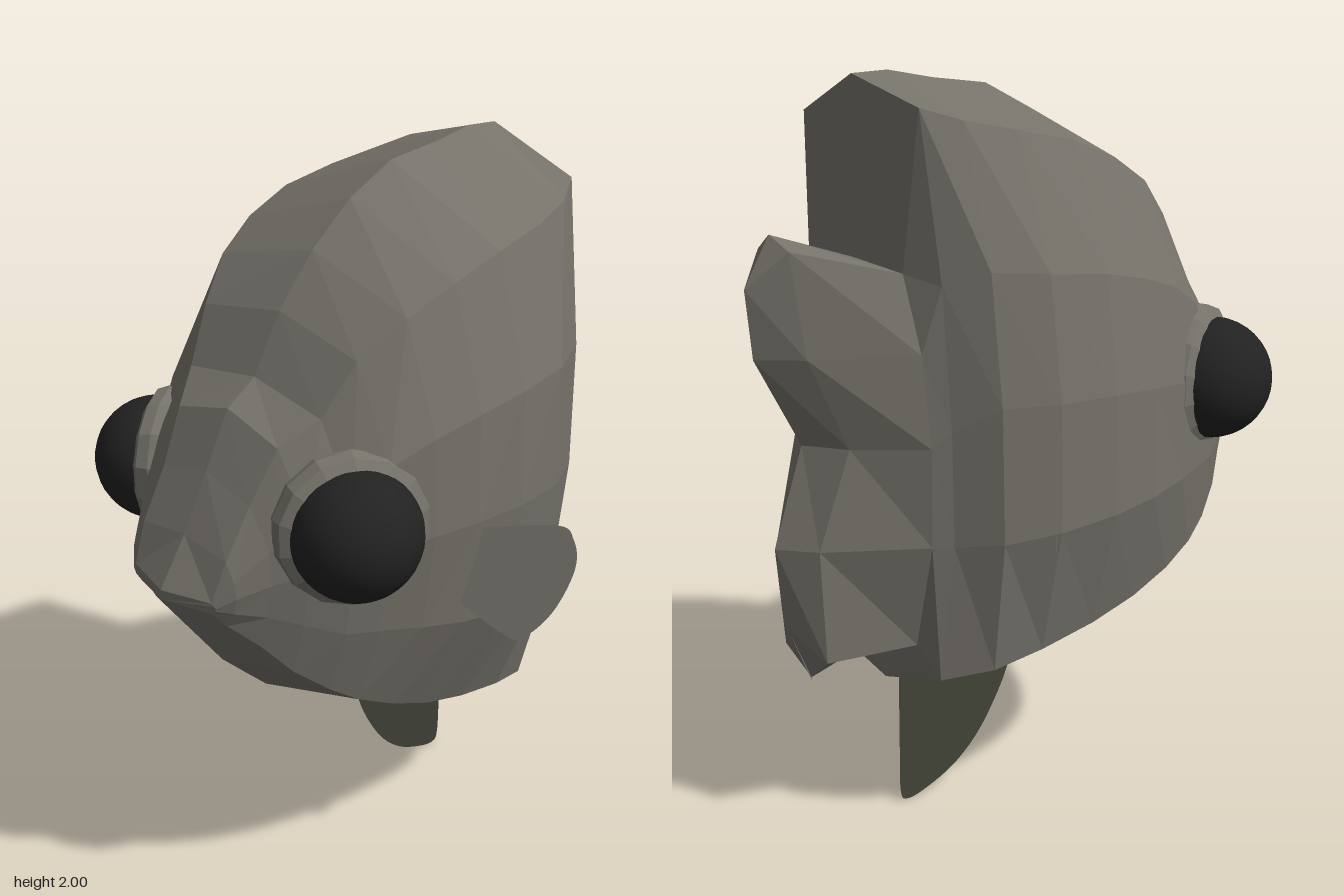
import * as THREE from 'three';

const skin = new THREE.MeshStandardMaterial({ color: 0x76736b, flatShading: true, side: THREE.DoubleSide });
skin.name = 'skin';
const finSkin = new THREE.MeshStandardMaterial({ color: 0x3f4136, side: THREE.DoubleSide });
finSkin.name = 'dark fin';
const eyeBlack = new THREE.MeshStandardMaterial({ color: 0x222222 });
eyeBlack.name = 'eye black';

// Body sections: z, belly y, chine y, shoulder y, back y, side width, shoulder width, chine width
const SECTIONS = [
  [0.7, 0.87, 0.925, 1.1, 1.12, 0.19, 0.15, 0.16],
  [0.63, 0.79, 0.86, 1.23, 1.27, 0.24, 0.155, 0.21],
  [0.56, 0.7, 0.78, 1.37, 1.42, 0.3, 0.175, 0.26],
  [0.47, 0.62, 0.71, 1.44, 1.48, 0.365, 0.23, 0.31],
  [0.39, 0.55, 0.66, 1.58, 1.635, 0.41, 0.265, 0.34],
  [0.28, 0.495, 0.61, 1.68, 1.77, 0.46, 0.32, 0.365],
  [0.15, 0.455, 0.56, 1.75, 1.88, 0.495, 0.355, 0.375],
  [0, 0.41, 0.52, 1.805, 1.955, 0.515, 0.37, 0.38],
  [-0.17, 0.385, 0.485, 1.84, 1.975, 0.5, 0.36, 0.375],
  [-0.31, 0.365, 0.455, 1.87, 2.0, 0.44, 0.33, 0.35],
];

// Nose lip half ring, bowed forward in the middle
const NOSE = [[0, 0.962, 0.775], [0.14, 0.965, 0.735], [0.15, 0.975, 0.733], [0.152, 0.982, 0.733],
  [0.15, 0.988, 0.735], [0.14, 0.995, 0.737], [0, 0.99, 0.777]];

// Rear half rings, belly to back: body rim, tail base, flank, rear edge
const TAIL = [
  [[0, 0.373, -0.43], [0.26, 0.43, -0.42], [0.32, 0.8, -0.395], [0.335, 1.1, -0.395],
    [0.325, 1.47, -0.395], [0.28, 1.905, -0.405], [0, 1.995, -0.42]],
  [[0, 0.49, -0.45], [0.2, 0.52, -0.45], [0.285, 0.8, -0.44], [0.3, 1.06, -0.435],
    [0.285, 1.3, -0.44], [0.22, 1.5, -0.44], [0, 1.53, -0.45]],
  [[0, 0.43, -0.66], [0.11, 0.5, -0.67], [0.11, 0.8, -0.67], [0.14, 1.06, -0.58],
    [0.115, 1.3, -0.67], [0.08, 1.57, -0.68], [0, 1.61, -0.69]],
  [[0, 0.42, -0.66], [0, 0.58, -0.72], [0, 0.8, -0.74], [0, 1.06, -0.64],
    [0, 1.3, -0.76], [0, 1.48, -0.77], [0, 1.61, -0.69]],
];

function halfRing([z, belly, chine, shoulder, back, w, sw, cw]) {
  const y = (t) => chine + (shoulder - chine) * t;
  return [[0, belly, z], [cw, chine, z], [w * 0.96, y(0.25), z], [w, y(0.5), z],
    [w * 0.95, y(0.74), z], [sw, shoulder, z], [0, back, z]];
}

// Mirror a half ring into a closed loop
function fullRing(half) {
  const mirrored = half.slice(1, -1).reverse().map(([x, y, z]) => [-x, y, z]);
  return [...half, ...mirrored];
}

function loft(rings) {
  const n = rings[0].length;
  const index = [];
  for (let i = 0; i < rings.length - 1; i++) {
    for (let j = 0; j < n; j++) {
      const k = (j + 1) % n;
      const a = i * n + j, b = i * n + k, c = b + n, d = a + n;
      // Diagonals mirror about the centre line
      if (j < n / 2) index.push(a, d, c, a, c, b);
      else index.push(a, d, b, b, d, c);
    }
  }
  for (let j = 1; j < n - 1; j++) index.push(0, j, j + 1); // front cap
  const geo = new THREE.BufferGeometry();
  geo.setAttribute('position', new THREE.Float32BufferAttribute(rings.flat(2), 3));
  geo.setIndex(index);
  const flat = geo.toNonIndexed();
  flat.computeVertexNormals();
  return flat;
}

function addMesh(parent, name, geometry, material) {
  const mesh = new THREE.Mesh(geometry, material);
  mesh.name = name;
  parent.add(mesh);
  return mesh;
}

// Flat fin with a straight root and a smooth outer edge
function finGeometry(points) {
  const shape = new THREE.Shape();
  shape.moveTo(...points[0]);
  shape.splineThru(points.slice(1).map((p) => new THREE.Vector2(...p)));
  shape.closePath();
  return new THREE.ShapeGeometry(shape, 6);
}

export function createModel() {
  const model = new THREE.Group();
  model.name = 'fish';

  // Body and belly fin lean slightly to one side
  const trunk = new THREE.Group();
  trunk.name = 'trunk';
  trunk.position.set(0.033, 1.15, 0);
  trunk.rotation.set(0, 0.11, -0.075);
  model.add(trunk);

  const rings = [NOSE, ...SECTIONS.map(halfRing), ...TAIL].map(fullRing);
  addMesh(trunk, 'body', loft(rings).translate(0, -1.15, 0), skin);

  const belly = finGeometry([[-0.04, 0.45], [0, 0.34], [0.05, 0.24], [0.13, 0.13],
    [0.22, 0.055], [0.32, 0.01], [0.385, -0.003], [0.405, 0.025], [0.4, 0.15], [0.385, 0.42]]);
  addMesh(trunk, 'bellyFin', belly.rotateY(Math.PI / 2).translate(0, -1.15, 0), finSkin);

  // Eyes in bevelled sockets, mirrored about the head
  const eyes = new THREE.Group();
  eyes.name = 'eyes';
  eyes.position.x = 0.04;
  eyes.rotation.y = 0.085;
  model.add(eyes);
  const socketProfile = [[0.001, -0.12], [0.19, -0.12], [0.205, -0.045], [0.195, -0.01], [0.167, 0.007], [0.15, -0.015]]
    .map((p) => new THREE.Vector2(...p));
  for (const side of [1, -1]) {
    const eye = new THREE.Group();
    eye.name = side > 0 ? 'leftEye' : 'rightEye';
    eye.position.set(side * 0.373, 1.155, 0.463);
    eye.rotation.y = side * Math.PI / 3;
    eyes.add(eye);
    addMesh(eye, 'eyeball', new THREE.SphereGeometry(0.168, 32, 20), eyeBlack);
    addMesh(eye, 'socket', new THREE.LatheGeometry(socketProfile, 14).rotateX(Math.PI / 2), skin);
  }

  // Side fins, each swept at its own angle
  const sideFin = finGeometry([[-0.05, 0.1], [0.17, 0.135], [0.225, 0.1], [0.245, 0.02],
    [0.215, -0.1], [0.16, -0.18], [0.11, -0.195], [-0.05, -0.1]]);
  const left = addMesh(model, 'leftFin', sideFin, skin);
  left.position.set(0.535, 0.99, 0.08);
  left.rotation.set(0, 0.92, -0.15);
  const right = addMesh(model, 'rightFin', sideFin, skin);
  right.position.set(-0.48, 1.05, -0.125);
  right.rotation.set(0, 2.57, 0);

  return model;
}
